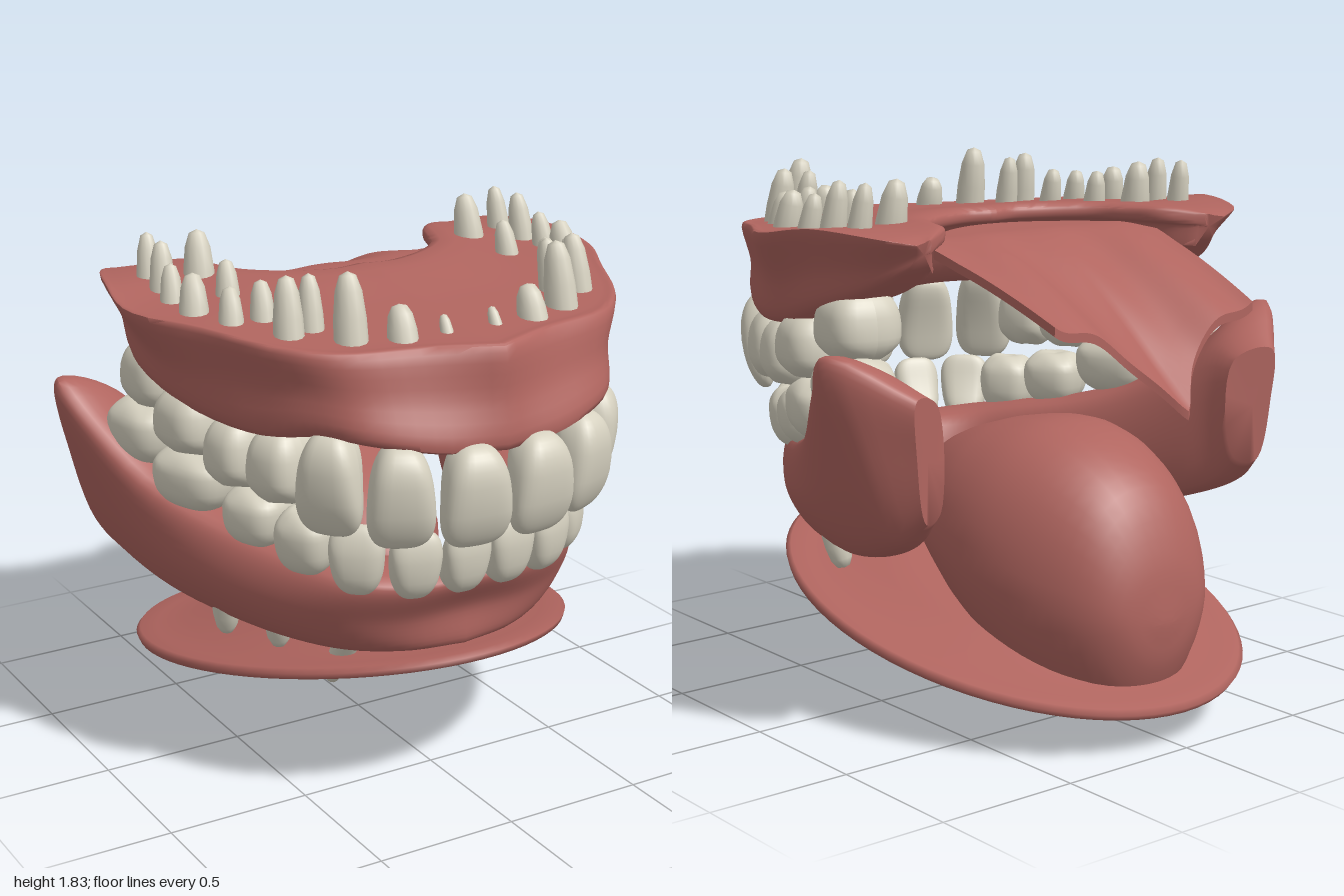
import * as THREE from 'three';
import { toCreasedNormals } from 'three/addons/utils/BufferGeometryUtils.js';

const gum = new THREE.MeshStandardMaterial({ color: 0xb0655f, side: THREE.DoubleSide });
gum.name = 'gum pink';
const enamel = new THREE.MeshStandardMaterial({ color: 0xd6d1c0 });
enamel.name = 'ivory enamel';

const V = (x, y, z) => new THREE.Vector3(x, y, z);
const curve = (pts) => new THREE.CatmullRomCurve3(pts.map((p) => V(...p)));
const signedPow = (v, e) => Math.sign(v) * Math.abs(v) ** e;
const named = (geometry, material, name) => {
  const m = new THREE.Mesh(geometry, material);
  m.name = name;
  return m;
};

// Skin a row of closed loops (equal point counts) and cap both ends
function loft(rings, crease = 0.9) {
  const n = rings[0].length, pos = [], idx = [];
  rings.forEach((r) => r.forEach((p) => pos.push(p.x, p.y, p.z)));
  for (let i = 0; i < rings.length - 1; i++) {
    for (let j = 0; j < n; j++) {
      const k = (j + 1) % n, a = i * n + j, b = i * n + k;
      idx.push(a, b, a + n, b, b + n, a + n);
    }
  }
  [0, rings.length - 1].forEach((i) => {
    const c = rings[i].reduce((s, p) => s.add(p), V(0, 0, 0)).divideScalar(n);
    const ci = pos.length / 3;
    pos.push(c.x, c.y, c.z);
    for (let j = 0; j < n; j++) {
      const a = i * n + j, b = i * n + ((j + 1) % n);
      if (i) idx.push(ci, a, b); else idx.push(ci, b, a);
    }
  });
  const g = new THREE.BufferGeometry();
  g.setAttribute('position', new THREE.Float32BufferAttribute(pos, 3));
  g.setIndex(idx);
  return toCreasedNormals(g, crease);
}

// Mirrored arch: rails run from the front middle to one end; section() lists the loop corners
function arch(rails, section, steps = 36, around = 40) {
  const curves = rails.map(curve), rings = [];
  for (let i = -steps; i <= steps; i++) {
    const pts = section(curves.map((c) => c.getPoint(Math.abs(i) / steps)));
    const loop = new THREE.CatmullRomCurve3(pts, true, 'centripetal').getPoints(around);
    loop.pop();
    if (i < 0) loop.forEach((p) => { p.x = -p.x; });
    rings.push(loop);
  }
  return loft(rings);
}

function upperGum() {
  const rails = [
    [[0, 1.61, .9], [.22, 1.61, .81], [.5, 1.61, .73], [.64, 1.62, .6], [.77, 1.64, .35], [.9, 1.65, .08], [.87, 1.68, -.15], [.77, 1.66, -.4], [.67, 1.64, -.45]],
    [[0, 1.28, .93], [.22, 1.3, .91], [.44, 1.34, .82], [.55, 1.35, .68], [.64, 1.31, .5], [.74, 1.33, .2], [.79, 1.4, -.05], [.74, 1.47, -.25], [.66, 1.56, -.4]],
    [[0, 1.32, .73], [.16, 1.32, .72], [.3, 1.33, .66], [.38, 1.34, .55], [.44, 1.34, .4], [.5, 1.37, .15], [.52, 1.42, -.05], [.5, 1.48, -.23], [.57, 1.56, -.4]],
    [[0, 1.67, 0], [.04, 1.67, .01], [.1, 1.67, .02], [.18, 1.67, 0], [.27, 1.67, -.04], [.37, 1.67, -.12], [.42, 1.67, -.22], [.47, 1.67, -.33], [.6, 1.65, -.43]],
  ];
  return arch(rails, ([top, bot, inner, edge]) => {
    const wall = top.clone().lerp(bot, 0.5);
    wall.x *= 0.985;
    const vaultSide = inner.clone().lerp(edge, 0.2).setY(1.54);
    const vault = inner.clone().lerp(edge, 0.5).setY(1.61);
    const under = edge.clone();
    under.y -= 0.04;
    return [top, wall, bot, inner, vaultSide, vault, under, edge, edge.clone().lerp(top, 0.5), edge.clone().lerp(top, 0.94)];
  }, 36, 50);
}

function lowerGum() {
  return arch([
    [[0, .8, .78], [.22, .8, .76], [.4, .82, .68], [.52, .85, .5], [.65, .9, .25], [.8, 1, -.02], [.92, 1.19, -.24], [.97, 1.31, -.36], [.78, 1.18, -.59]],
    [[0, .66, .71], [.24, .66, .7], [.44, .68, .62], [.59, .7, .44], [.72, .74, .18], [.82, .82, -.08], [.89, .95, -.28], [.92, 1.05, -.42], [.78, 1, -.59]],
    [[0, .53, .7], [.2, .53, .66], [.37, .53, .55], [.5, .54, .38], [.6, .55, .12], [.68, .58, -.12], [.74, .64, -.33], [.77, .7, -.47], [.73, .78, -.57]],
    [[0, .55, .52], [.14, .55, .5], [.26, .55, .42], [.36, .55, .3], [.45, .56, .08], [.53, .6, -.15], [.6, .66, -.36], [.64, .72, -.47], [.65, .8, -.54]],
    [[0, .82, .58], [.15, .82, .56], [.27, .83, .48], [.36, .86, .34], [.46, .9, .12], [.56, .98, -.1], [.63, 1.08, -.3], [.66, 1.15, -.41], [.65, 1.14, -.53]],
  ], (p) => p);
}

// Tongue stations: z, bottom (or top), half width
function tongue() {
  const low = curve([[-.9, .38, .03], [-.87, .23, .18], [-.77, .06, .29], [-.6, 0, .375], [-.4, .07, .42], [-.2, .2, .41], [-.05, .3, .36], [.08, .37, .29], [.2, .45, .2], [.3, .55, .1], [.33, .63, .02]]);
  const high = curve([[-.9, .42, 0], [-.87, .62, 0], [-.77, .83, 0], [-.6, .95, 0], [-.4, 1, 0], [-.2, .98, 0], [-.05, .94, 0], [.08, .89, 0], [.2, .82, 0], [.3, .73, 0], [.33, .66, 0]]);
  const rings = [];
  for (let i = 0; i <= 40; i++) {
    const a = low.getPoint(i / 40), b = high.getPoint(i / 40), ring = [];
    for (let j = 0; j < 36; j++) {
      const t = (j / 36) * Math.PI * 2, s = Math.sin(t);
      const x = s < 0 ? Math.cos(t) * (1 + 0.12 * s) : signedPow(Math.cos(t), 0.85);
      ring.push(V(x * a.z, (a.y + b.y) / 2 + s * (b.y - a.y) / 2, a.x));
    }
    rings.push(ring);
  }
  return loft(rings, 1.2);
}

// Thin pleated sheet behind the palate, ending in a drooping point
function softPalate() {
  const rings = [], rows = 20;
  for (let i = 0; i <= 48; i++) {
    const u = i / 24 - 1, peak = Math.exp(-(Math.abs(u) ** 1.4) / 0.14), top = [], under = [];
    for (let j = 0; j <= rows; j++) {
      const v = j / rows;
      const z = THREE.MathUtils.lerp(0.03 - 0.33 * u * u, -0.83 - 0.15 * peak, v);
      const s = THREE.MathUtils.clamp((-0.2 - z) / 0.63, 0, 1);
      const drop = (0.2 + 0.1 * (1 - u * u) + 0.1 * peak) * s ** 1.4 + Math.max(0, -0.83 - z) * 0.8;
      const y = 1.62 - drop + 0.015 * Math.cos(u * 10) * Math.min(1, s * 3);
      const x = u * (0.49 - 0.06 * v);
      top.push(V(x, y, z));
      under.unshift(V(x, y - 0.03, z));
    }
    rings.push([...top, ...under]);
  }
  return loft(rings, 0.8);
}

// Tilted oval floor with a rolled rim, slightly domed in the middle
function floorPlate() {
  const profile = [[0, .07], [.45, .07], [.6, .05], [.75, .025], [.9, .018], [.98, .02], [1, .005], [.99, -.015], [.95, -.018], [.88, -.008], [.75, .003], [.6, .028], [.45, .048], [0, .05]];
  const g = new THREE.LatheGeometry(profile.map((p) => new THREE.Vector2(...p)), 72);
  g.scale(0.73, 1, 0.93);
  return g;
}

// Crown with its biting end up and its outer face to +z
function crown(w, h, d, molar) {
  const g = new THREE.SphereGeometry(1, 28, 20), p = g.attributes.position;
  for (let i = 0; i < p.count; i++) {
    let x = signedPow(p.getX(i), 0.65), y = signedPow(p.getY(i), 0.7), z = signedPow(p.getZ(i), 0.75);
    const up = (y + 1) / 2;
    if (molar) {
      x *= 0.82 + 0.2 * Math.sin(up * 2.4);
      z *= 0.88 + 0.14 * Math.sin(up * 2.8);
      if (y > 0.4) y -= 0.13 * (y - 0.4) * (1 + Math.cos(x * 5) * Math.cos(z * 4));
    } else {
      x *= 0.66 + 0.42 * Math.sqrt(up);
      z = z * (1 - 0.6 * up) + 0.35 * Math.sin(up * 2.6);
    }
    p.setXYZ(i, x * w / 2, y * h / 2, z * d / 2);
  }
  g.computeVertexNormals();
  return g;
}

// Rounded tapering root from base to tip
function root(base, tip, r) {
  const len = base.distanceTo(tip);
  const prof = [[r, 0], [r * .95, .4], [r * .78, .75], [r * .48, .95], [0, 1]].map(([a, b]) => new THREE.Vector2(a, b * len));
  const m = named(new THREE.LatheGeometry(prof, 12), enamel, 'root');
  m.position.copy(base);
  m.quaternion.setFromUnitVectors(V(0, 1, 0), tip.clone().sub(base).normalize());
  return m;
}

// x, low y, high y, z, width, depth, yaw, forward tilt
const UPPER = [[.118, .98, 1.32, .905, .24, .19, .12, 0], [.335, .99, 1.33, .83, .22, .19, .42, 0], [.485, 1.01, 1.36, .675, .22, .2, .9, 0], [.565, 1.07, 1.33, .49, .2, .22, 1.2, 0], [.62, 1.08, 1.33, .31, .19, .24, 1.3, 0], [.67, 1.14, 1.38, .1, .25, .27, 1.4, 0], [.68, 1.23, 1.48, -.14, .25, .26, 1.5, 0]];
const LOWER = [[.083, .77, 1.02, .8, .17, .14, .05, .22], [.245, .77, 1.02, .765, .175, .15, .3, .22], [.385, .78, 1.03, .66, .185, .17, .7, .15], [.485, .82, 1.05, .51, .2, .2, 1.05, .08], [.56, .87, 1.08, .32, .22, .22, 1.15, 0], [.66, .94, 1.16, .08, .3, .25, 1.2, 0], [.72, 1.04, 1.27, -.17, .27, .25, 1.35, 0]];
// Root tips: x, y, z, radius
const UPPER_ROOTS = [[.09, 1.67, .68, .022], [.24, 1.72, .66, .05], [.39, 1.83, .6, .055], [.45, 1.8, .46, .042], [.54, 1.81, .48, .05], [.545, 1.76, .32, .042], [.65, 1.75, .31, .042], [.71, 1.77, .17, .05], [.72, 1.77, .03, .04], [.54, 1.77, .07, .042], [.7, 1.82, -.08, .045], [.69, 1.82, -.21, .042], [.53, 1.82, -.16, .055]];
const LOWER_ROOTS = [[.055, .35, .39, .034], [.14, .35, .4, .034], [.32, .33, .36, .047], [.47, .46, .27, .05], [.58, .47, .1, .048]];

function teeth(table, upper) {
  const set = new THREE.Group();
  set.name = upper ? 'upperTeeth' : 'lowerTeeth';
  table.forEach(([x, lo, hi, z, w, d, yaw, tilt], i) => {
    const g = crown(w, hi - lo, d, i > 2);
    [1, -1].forEach((s) => {
      const m = named(g, enamel, i > 4 ? 'molar' : i > 2 ? 'premolar' : i > 1 ? 'canine' : 'incisor');
      m.position.set(s * x, (lo + hi) / 2, z);
      m.rotation.set(tilt, s * yaw, upper ? Math.PI : 0, 'YXZ');
      set.add(m);
    });
  });
  (upper ? UPPER_ROOTS : LOWER_ROOTS).forEach(([x, y, z, r]) => [1, -1].forEach((s) => {
    const base = upper ? V(s * x * 1.02, 1.59, z + 0.04) : V(s * x * 1.03, 0.6, z + (y < 0.4 ? 0.17 : 0.03));
    set.add(root(base, V(s * x, y, z), r));
  }));
  return set;
}

export function createModel() {
  const model = new THREE.Group();
  model.name = 'jaws';
  const plate = named(floorPlate(), gum, 'mouthFloor');
  plate.position.set(0, 0.33, -0.09);
  plate.rotation.x = -Math.atan2(0.4, 1.82);
  model.add(
    named(upperGum(), gum, 'upperGum'),
    named(lowerGum(), gum, 'lowerGum'),
    named(tongue(), gum, 'tongue'),
    named(softPalate(), gum, 'softPalate'),
    plate,
    teeth(UPPER, true),
    teeth(LOWER, false),
  );
  return model;
}
